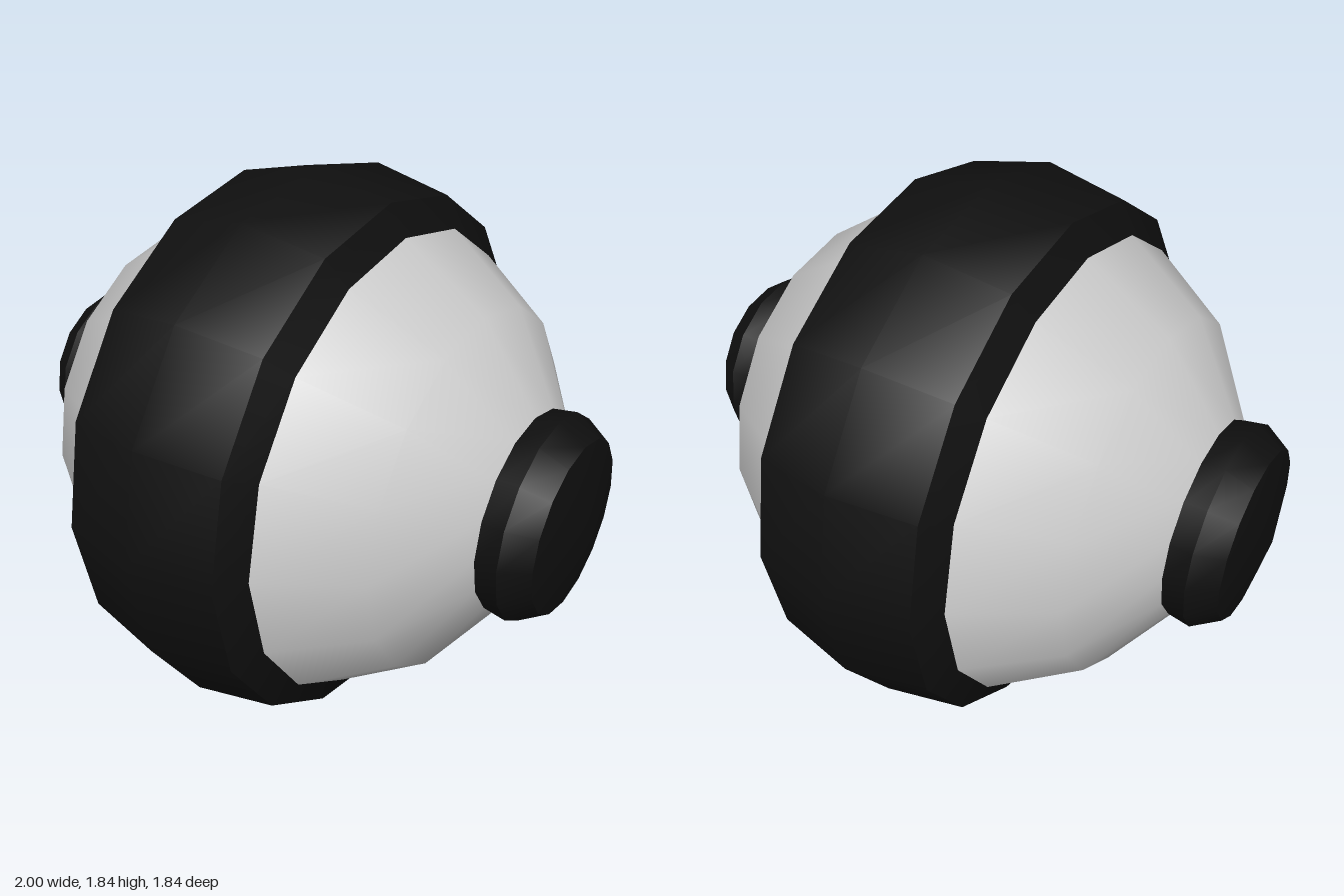
import * as THREE from 'three';
import { toCreasedNormals } from 'three/addons/utils/BufferGeometryUtils.js';

const SIDES = 16;
const CENTER_Y = 0.92;

const grey = new THREE.MeshStandardMaterial({ color: 0xcccccc });
const black = new THREE.MeshStandardMaterial({ color: 0x0f0f0f });

// Revolves [x, radius] points, listed by rising x, around the x axis
function revolve(name, points, material) {
  const profile = points.map(([x, r]) => new THREE.Vector2(r, x));
  const geometry = new THREE.LatheGeometry(profile, SIDES);
  geometry.rotateZ(-Math.PI / 2);
  const mesh = new THREE.Mesh(toCreasedNormals(geometry, 0.65), material);
  mesh.name = name;
  return mesh;
}

// Flips a profile to the other side, keeping x rising
const mirror = (points) => points.map(([x, r]) => [-x, r]).reverse();

export function createModel() {
  const model = new THREE.Group();
  model.name = 'bandedBall';
  const ball = new THREE.Group();
  ball.name = 'ball';
  ball.position.y = CENTER_Y;
  model.add(ball);

  // Wide raised band with chamfered rims
  const bandHalf = [[0.27, 0.865], [0.325, 0.77]];
  ball.add(revolve('centreBand', [...mirror(bandHalf), [0, 0.92], ...bandHalf], black));

  // Domed shells and end caps on both sides
  const shell = [[0.325, 0.77], [0.6, 0.59], [0.785, 0.322]];
  const cap = [[0.785, 0.322], [0.86, 0.333], [0.945, 0.278], [1, 0]];
  ball.add(revolve('leftShell', shell, grey), revolve('rightShell', mirror(shell), grey));
  ball.add(revolve('leftCap', cap, black), revolve('rightCap', mirror(cap), black));

  return model;
}
